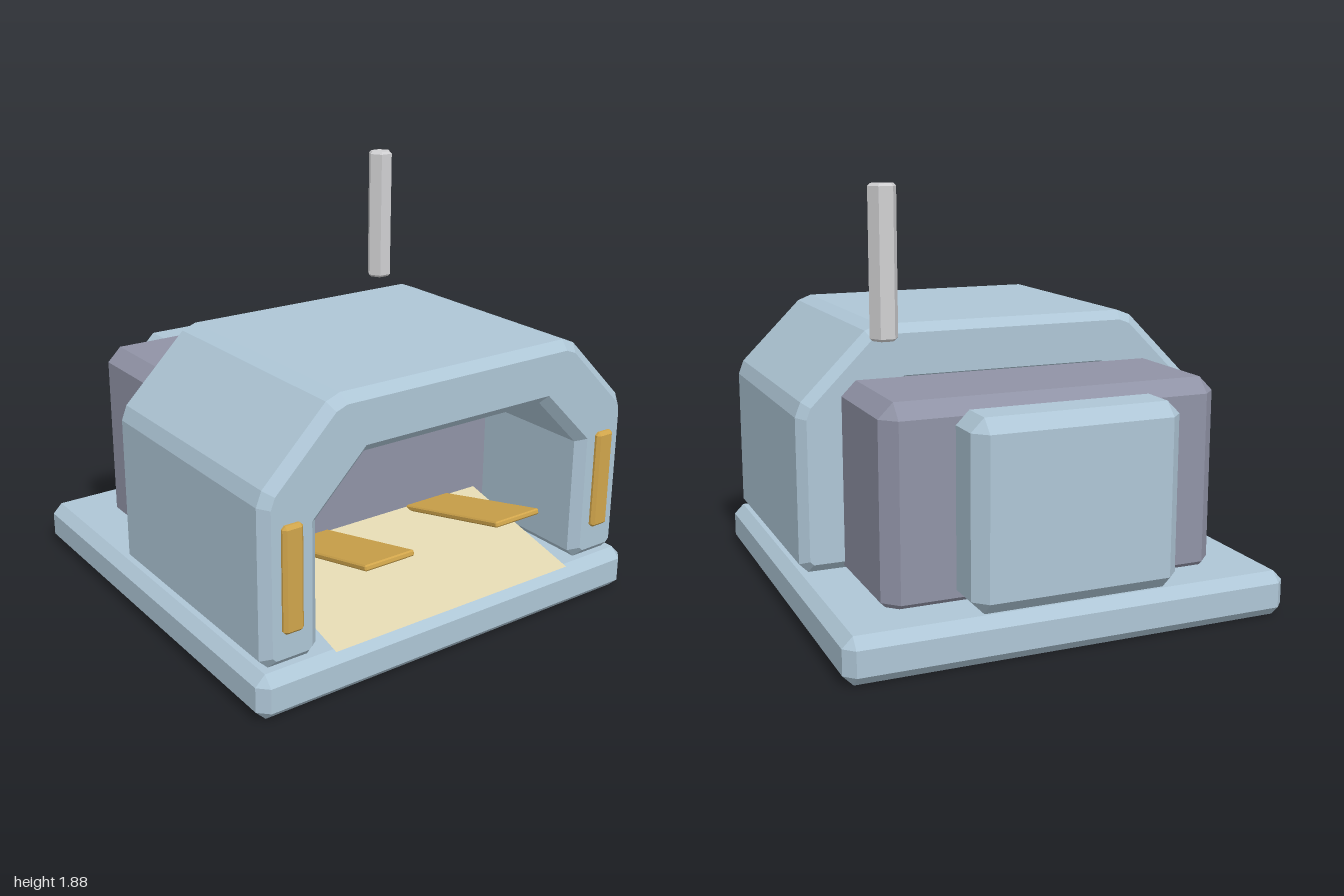
import * as THREE from 'three';
import { ConvexGeometry } from 'three/addons/geometries/ConvexGeometry.js';

const material = (name, color) => {
  const m = new THREE.MeshStandardMaterial({ color });
  m.name = name;
  return m;
};

// Box with every edge chamfered by b, given by its min and max corners
function chamferBox(min, max, b) {
  const h = min.map((v, i) => (max[i] - v) / 2);
  const points = [];
  for (const sx of [-1, 1]) for (const sy of [-1, 1]) for (const sz of [-1, 1]) {
    for (let axis = 0; axis < 3; axis++) {
      const p = h.map((v, i) => (i === axis ? v : v - b));
      points.push(new THREE.Vector3(sx * p[0], sy * p[1], sz * p[2]));
    }
  }
  return new ConvexGeometry(points).translate(...min.map((v, i) => v + h[i]));
}

export function createModel() {
  const group = new THREE.Group();
  group.name = 'garageBuilding';

  const blue = material('paleBlue', 0xaec6d6);
  const mauve = material('greyMauve', 0x9093a6);
  const gold = material('gold', 0xd0a54b);
  const sand = material('sand', 0xe0d6b0);
  const grey = material('lightGrey', 0xd0d0d2);
  sand.side = THREE.DoubleSide;

  const add = (name, geometry, mat) => {
    const mesh = new THREE.Mesh(geometry, mat);
    mesh.name = name;
    group.add(mesh);
    return mesh;
  };

  // Foundation slab, rear hall and the small annex behind it
  add('foundation', chamferBox([-1, 0, -1], [1, 0.2, 1], 0.045), blue);
  add('rearHall', chamferBox([-0.765, 0.155, -0.78], [0.765, 1.04, 0.335], 0.065), mauve);
  add('rearAnnex', chamferBox([-0.465, 0.2, -1], [0.465, 1.0, -0.73], 0.058), blue);

  // Arched hood: half profile, mirrored, extruded with chamfered rims
  const outer = [[0.92, 0.2], [0.96, 0.24], [0.96, 0.89], [0.935, 0.955], [0.645, 1.245], [0.58, 1.27]];
  const inner = [[0.465, 1.005], [0.695, 0.775], [0.695, 0.24], [0.735, 0.2]];
  const mirror = (pts) => pts.map(([x, y]) => [-x, y]).reverse();
  const profile = [...outer, ...mirror(outer), ...mirror(inner), ...inner];
  const shape = new THREE.Shape(profile.map(([x, y]) => new THREE.Vector2(x, y)));
  const hood = new THREE.ExtrudeGeometry(shape, {
    depth: 1.105, bevelEnabled: true, bevelSegments: 1,
    bevelThickness: 0.04, bevelSize: 0.04, bevelOffset: -0.04,
  });
  add('archedHood', hood.translate(0, 0, -0.185), blue);

  // Sloping floor of the entrance
  const ramp = new THREE.BufferGeometry();
  ramp.setAttribute('position', new THREE.Float32BufferAttribute([
    -0.635, 0.2, 0.98, 0.635, 0.2, 0.98, 0.635, 0.36, 0.335, -0.635, 0.36, 0.335,
  ], 3));
  ramp.setIndex([0, 1, 2, 0, 2, 3]);
  ramp.computeVertexNormals();
  add('entranceRamp', ramp, sand);

  // Tilted tongues and front lamps on both sides
  for (const [side, s] of [['left', 1], ['right', -1]]) {
    const tongue = add(side + 'Tongue',
      chamferBox([-0.125, -0.013, -0.32], [0.125, 0.013, 0.32], 0.006), gold);
    tongue.position.set(s * 0.348, 0.43, 0.64);
    tongue.rotation.x = -0.245;

    const lamp = add(side + 'Lamp',
      chamferBox([-0.047, 0.35, 0.93], [0.047, 0.81, 0.984], 0.014), gold);
    lamp.position.x = s * 0.83;
  }

  // Hexagonal post hovering over the hall
  const post = new THREE.LatheGeometry(
    [[0, 1.245], [0.05, 1.245], [0.061, 1.256], [0.061, 1.869], [0.05, 1.88], [0, 1.88]]
      .map(([x, y]) => new THREE.Vector2(x, y)), 6, Math.PI / 6).toNonIndexed();
  post.computeVertexNormals();
  add('post', post, grey).position.set(0.65, 0, -0.465);

  return group;
}
